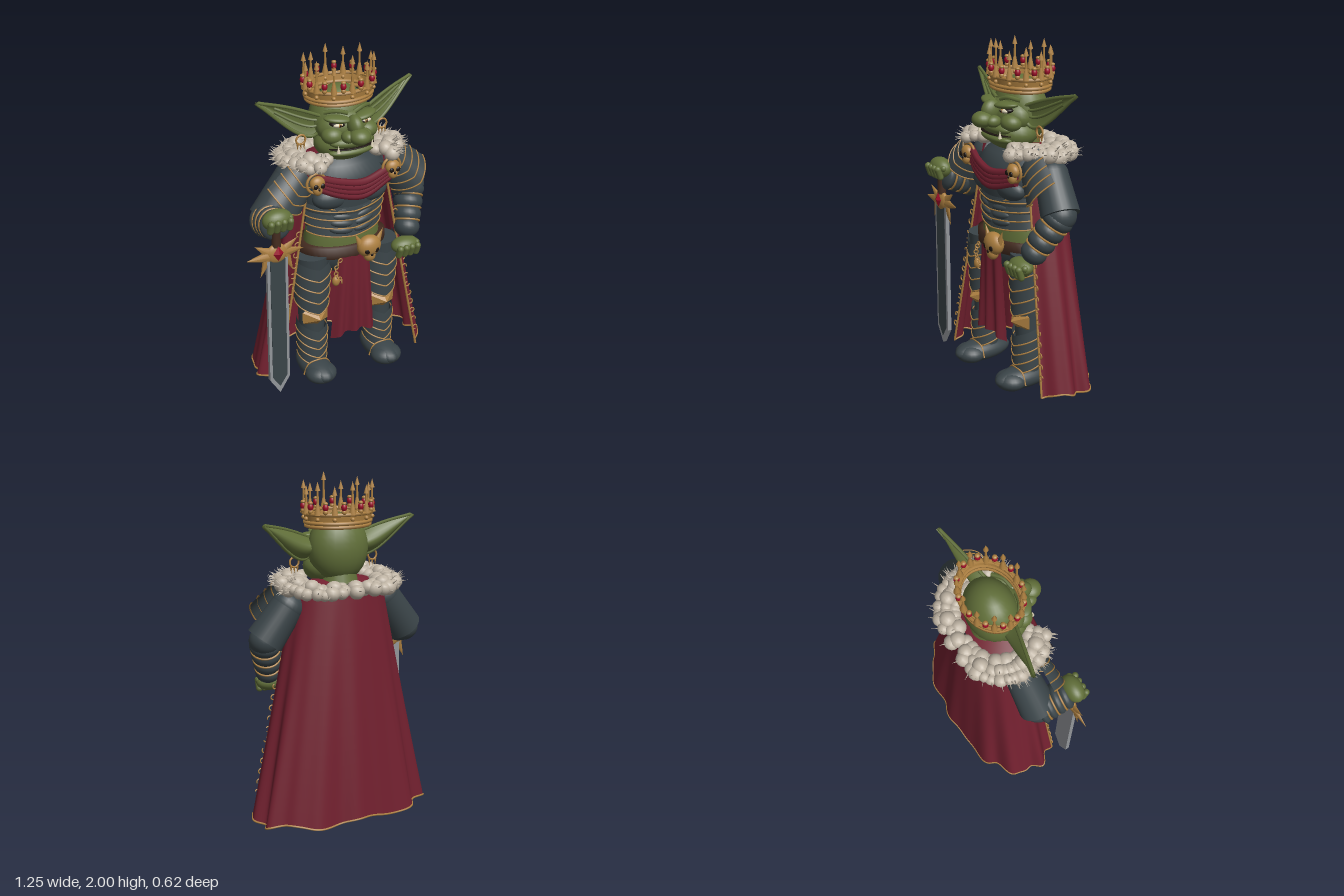
import * as THREE from 'three';

const V = (p) => new THREE.Vector3(...p);
const mat = (name, color, side = THREE.FrontSide) => Object.assign(new THREE.MeshStandardMaterial({ color, side }), { name });
const M = {
  skin: mat('green skin', 0x616f39), armour: mat('slate armour', 0x3a4448, THREE.DoubleSide),
  gold: mat('old gold', 0xac7f40, THREE.DoubleSide), cloth: mat('maroon cloth', 0x72202f, THREE.DoubleSide),
  fur: mat('cream fur', 0xbfb4a4), leather: mat('brown leather', 0x452c20), steel: mat('steel', 0x93969a),
  ruby: mat('ruby', 0x9c0f28), dark: mat('dark hollow', 0x1c1410), bone: mat('tusk bone', 0xd8cfb4),
};

function add(parent, name, geo, m, p = [0, 0, 0], s = [1, 1, 1], r = [0, 0, 0]) {
  const mesh = new THREE.Mesh(geo, m);
  mesh.name = name;
  mesh.position.set(...p); mesh.scale.set(...s); mesh.rotation.set(...r);
  parent.add(mesh);
  return mesh;
}
function group(parent, name, p = [0, 0, 0], r = [0, 0, 0]) {
  const g = new THREE.Group();
  g.name = name; g.position.set(...p); g.rotation.set(...r);
  parent.add(g);
  return g;
}
const ballGeo = new THREE.SphereGeometry(1, 24, 16);
const ball = (g, name, m, p, s, r) => add(g, name, ballGeo, m, p, s, r);
const tube = (g, name, m, pts, r, seg = 24, closed = false) =>
  add(g, name, new THREE.TubeGeometry(new THREE.CatmullRomCurve3(pts.map(V), closed), seg, r, 6, closed), m);

// Grid surface from a rule f(u, v) -> [x, y, z]
function surf(g, name, m, nu, nv, f) {
  const pos = [], idx = [];
  for (let j = 0; j <= nv; j++) for (let i = 0; i <= nu; i++) pos.push(...f(i / nu, j / nv));
  for (let j = 0; j < nv; j++) for (let i = 0; i < nu; i++) {
    const a = j * (nu + 1) + i, b = a + nu + 1;
    idx.push(a, b, a + 1, a + 1, b, b + 1);
  }
  const geo = new THREE.BufferGeometry();
  geo.setAttribute('position', new THREE.Float32BufferAttribute(pos, 3));
  geo.setIndex(idx); geo.computeVertexNormals();
  return add(g, name, geo, m);
}
const edge = (n, f) => Array.from({ length: n + 1 }, (_, i) => f(i / n));

// Curved armour plate with a gold lower rim
function plate(g, name, { x = 0, z = 0, rx, rz, y, h, chev = 0, a = 1.9, flare = 0.1 }) {
  const f = (u, v) => {
    const t = 2 * u - 1, s = 1 + flare * v;
    return [x + rx * s * Math.sin(a * t), y - h * v - chev * (1 - Math.abs(t)), z + rz * s * Math.cos(a * t)];
  };
  surf(g, name, M.armour, 20, 3, f);
  tube(g, name + 'Trim', M.gold, edge(16, (u) => f(u, 1)), 0.0045, 32);
}
// Group whose +y runs from p to q
function axis(parent, name, p, q) {
  const g = group(parent, name, p), d = V(q).sub(V(p));
  g.quaternion.setFromUnitVectors(new THREE.Vector3(0, 1, 0), d.clone().normalize());
  return [g, d.length()];
}
function skull(parent, name, p, s, horned) {
  const g = group(parent, name, p);
  g.scale.setScalar(s);
  ball(g, 'cranium', M.gold, [0, 0.15, 0], horned ? [0.9, 0.8, 0.6] : [0.72, 0.65, 0.5]);
  ball(g, 'skullJaw', M.gold, [0, -0.5, 0.1], [0.45, 0.5, 0.4]);
  for (const k of [-1, 1]) {
    ball(g, 'skullEye', M.dark, [k * 0.33, 0, 0.45], [0.22, 0.24, 0.12]);
    if (horned) add(g, 'skullHorn', new THREE.ConeGeometry(0.3, 1.1, 10), M.gold, [k * 0.85, 0.8, 0], [1, 1, 0.7], [0, 0, -k * 0.45]);
  }
  ball(g, 'skullNose', M.dark, [0, -0.32, 0.46], [0.1, 0.14, 0.1]);
  if (!horned) add(g, 'claspRing', new THREE.TorusGeometry(0.92, 0.13, 8, 24), M.gold, [0, 0.05, -0.2]);
}
function hand(parent, name, p, h) {
  const g = group(parent, name, p, [0.1, 0, 0]);
  ball(g, 'palm', M.skin, [0, 0, -0.01], [0.088, h, 0.058]);
  const finger = new THREE.CapsuleGeometry(0.02, 0.05, 4, 10);
  for (let i = 0; i < 4; i++) add(g, 'finger', finger, M.skin, [-0.058 + i * 0.038, -0.015, 0.035], [1, 1, 1], [0.25, 0, 0]);
  add(g, 'thumb', finger, M.skin, [0.055, -0.01, 0], [1, 1, 1], [0.4, 0, -0.5]);
}

function head(body) {
  const g = group(body, 'head');
  ball(g, 'skullDome', M.skin, [0, 1.585, 0], [0.18, 0.2, 0.142]);
  ball(g, 'jaw', M.skin, [0, 1.475, 0.065], [0.178, 0.105, 0.14]);
  ball(g, 'face', M.skin, [0, 1.57, 0.07], [0.17, 0.11, 0.11]);
  add(g, 'neck', new THREE.CylinderGeometry(0.1, 0.14, 0.16, 24), M.skin, [0, 1.37, 0]);
  ball(g, 'noseBridge', M.skin, [0, 1.605, 0.195], [0.042, 0.062, 0.058], [-0.5, 0, 0]);
  ball(g, 'noseTip', M.skin, [0, 1.56, 0.25], [0.06, 0.046, 0.06]);
  ball(g, 'upperLip', M.skin, [0, 1.507, 0.155], [0.135, 0.04, 0.065]);
  ball(g, 'lowerLip', M.skin, [0, 1.449, 0.155], [0.14, 0.03, 0.058]);
  ball(g, 'mouth', M.dark, [0, 1.475, 0.155], [0.14, 0.009, 0.062]);
  for (const k of [-1, 1]) {
    ball(g, 'nostril', M.skin, [k * 0.052, 1.553, 0.21], [0.036, 0.034, 0.045]);
    ball(g, 'cheek', M.skin, [k * 0.105, 1.545, 0.13], [0.065, 0.05, 0.06]);
    ball(g, 'eyeSocket', M.dark, [k * 0.085, 1.612, 0.146], [0.044, 0.016, 0.03], [0, k * 0.3, k * 0.1]);
    ball(g, 'eye', M.bone, [k * 0.085, 1.612, 0.16], [0.032, 0.013, 0.02]);
    ball(g, 'iris', M.gold, [k * 0.082, 1.612, 0.172], [0.012, 0.012, 0.01]);
    ball(g, 'pupil', M.dark, [k * 0.082, 1.612, 0.179], [0.005, 0.008, 0.005]);
    ball(g, 'brow', M.skin, [k * 0.085, 1.643, 0.15], [0.078, 0.02, 0.045], [0, k * 0.35, k * 0.1]);
    tube(g, 'browFold', M.skin, [[k * 0.02, 1.665, 0.145], [k * 0.08, 1.682, 0.13], [k * 0.14, 1.67, 0.09]], 0.012);
    add(g, 'tusk', new THREE.ConeGeometry(0.011, 0.045, 10), M.bone, [k * 0.105, 1.488, 0.203]);
    // Long pointed ear: hollow front, rounded back, raised rim and inner ridges
    const ear = group(g, k < 0 ? 'rightEar' : 'leftEar');
    const at = (x, y, lift = 0) => [k * x, y, 0.062 - (x - 0.14) * 0.27 + lift];
    const top = (u) => [0.14 + 0.345 * u, 1.64 + 0.105 * u + 0.012 * Math.sin(u * Math.PI)];
    const low = (u) => [0.14 + 0.345 * u, 1.555 + 0.19 * u - 0.09 * Math.sin(Math.PI * u ** 0.75) * (1 - 0.45 * u)];
    for (const front of [true, false]) surf(ear, 'earShell', M.skin, 16, 8, (u, w) => {
      const v = front === (k > 0) ? w : 1 - w, a = top(u), b = low(u);
      return at(a[0], a[1] + (b[1] - a[1]) * v, -(front ? 0.015 : 0.075 * (1 - u)) * Math.sin(v * Math.PI));
    });
    tube(ear, 'earRim', M.skin, [...edge(8, (u) => at(...top(u))), ...edge(8, (u) => at(...low(1 - u))).slice(1)], 0.01, 50);
    for (const q of [0.3, 0.6]) tube(ear, 'earRidge', M.skin, edge(6, (t) => {
      const u = t * 0.72, a = top(u), b = low(u);
      return at(a[0], a[1] + (b[1] - a[1]) * q, -0.008);
    }), 0.008);
    add(g, 'earring', new THREE.TorusGeometry(0.028, 0.006, 8, 24), M.gold, [k * 0.257, 1.515, 0.045]);
    for (const d of [-0.02, 0, 0.02]) add(g, 'earringSpike', new THREE.ConeGeometry(0.007, 0.04, 8), M.gold, [k * 0.257 + d, 1.472, 0.045], [1, 1, 1], [Math.PI, 0, 0]);
  }
}

function crown(body) {
  const g = group(body, 'crown');
  const round = (a, y, s = 1) => [0.2 * s * Math.sin(a), y, 0.158 * s * Math.cos(a)];
  surf(g, 'crownBand', M.gold, 48, 1, (u, v) => round(u * Math.PI * 2, 1.72 + 0.065 * v, 0.95 + 0.06 * v));
  surf(g, 'crownLedge', M.gold, 48, 1, (u, v) => round(u * Math.PI * 2, 1.793, 1.02 - 0.09 * v));
  for (const [y, s] of [[1.716, 0.95], [1.737, 0.98], [1.787, 1.02]])
    tube(g, 'crownRing', M.gold, edge(24, (u) => round(u * Math.PI * 2, y, s)).slice(1), 0.011, 64, true);
  for (let i = 0; i < 12; i++) {
    const a = i * Math.PI / 6, h = i === 0 ? 0.04 : i % 2 ? -0.015 : 0.01, b = a + Math.PI / 12;
    add(g, 'spikeBase', new THREE.ConeGeometry(0.021, 0.1, 8), M.gold, round(a, 1.835, 1.01));
    add(g, 'crownSpike', new THREE.CylinderGeometry(0.005, 0.009, 0.15 + h, 8), M.gold, round(a, 1.855 + h / 2, 1.01));
    add(g, 'crownTip', new THREE.ConeGeometry(0.015, 0.05, 8), M.gold, round(a, 1.935 + h, 1.01));
    ball(g, 'crownStud', M.gold, round(a, 1.76, 1.02), [0.012, 0.012, 0.012]);
    ball(g, 'gemSocket', M.gold, round(b, 1.802, 1.03), [0.014, 0.016, 0.014]);
    ball(g, 'crownGem', M.ruby, round(b, 1.828, 1.03), [0.016, 0.022, 0.016]);
    ball(g, 'gemCap', M.gold, round(b, 1.85, 1.03), [0.014, 0.01, 0.014]);
  }
}

function torso(body) {
  const lathe = (name, m, pts, ...arc) => add(body, name, new THREE.LatheGeometry(pts.map((p) => new THREE.Vector2(...p)), 40, ...arc), m, [0, 0, 0.04], [1, 1, 0.64]);
  lathe('pelvis', M.armour, [[0.001, 0.66], [0.18, 0.69], [0.25, 0.76], [0.25, 0.82]]);
  lathe('belly', M.skin, [[0.23, 0.8], [0.235, 0.88], [0.22, 0.96], [0.21, 1.0]]);
  lathe('belt', M.leather, [[0.23, 0.8], [0.275, 0.8], [0.275, 0.87], [0.23, 0.87]]);
  lathe('breastplate', M.armour, [[0.2, 0.97], [0.225, 0.97], [0.25, 1.08], [0.27, 1.2], [0.265, 1.29], [0.2, 1.36], [0.09, 1.41]]);
  lathe('capeCollar', M.cloth, [[0.29, 1.37], [0.2, 1.4], [0.09, 1.425]], Math.PI / 2, Math.PI);
  for (let i = 0; i < 4; i++) {
    plate(body, 'ribPlate', { z: 0.04, rx: 0.255 - i * 0.008, rz: 0.16 - i * 0.004, y: 1.17 - i * 0.055, h: 0.05, chev: 0.03, a: 1.4, flare: 0.05 });
    for (const k of [-1, 1]) ball(body, 'abdomenPlate', M.armour, [k * 0.07, 1.1 - i * 0.043, 0.172], [0.07, 0.026, 0.03], [0, k * 0.2, k * 0.12]);
  }
  for (const k of [-1, 1]) {
    ball(body, 'chestPlate', M.armour, [k * 0.115, 1.175, 0.14], [0.12, 0.07, 0.07]);
    tube(body, 'chestTrim', M.gold, [[k * 0.01, 1.13, 0.19], [k * 0.09, 1.108, 0.19], [k * 0.2, 1.14, 0.16]], 0.005);
    skull(body, 'shoulderClasp', [k * 0.238, 1.305, 0.205], 0.062, false);
    // Layered shoulder plates
    const g = group(body, 'pauldron', [k * 0.25, 1.37, 0.04], [0, 0, k * 0.72]);
    for (let i = 0; i < 4; i++) plate(g, 'shoulderPlate', { rx: 0.11 + i * 0.008, rz: 0.13 + i * 0.01, y: 0.01 - i * 0.055, h: 0.06, chev: 0.045, a: 1.15 });
  }
  // Draped scarf
  for (let i = 0; i < 4; i++) tube(body, 'scarfFold', M.cloth, [[-0.23, 1.335 - i * 0.02, 0.18], [-0.1, 1.295 - i * 0.026, 0.215], [0.04, 1.27 - i * 0.027, 0.225], [0.23, 1.3 - i * 0.02, 0.18]], 0.022);
  skull(body, 'beltSkull', [0.08, 0.845, 0.23], 0.083, true);
  // Front cloth and hanging chain
  surf(body, 'loincloth', M.cloth, 32, 8, (u, v) => {
    const t = 2 * u - 1;
    return [t * (0.1 + 0.045 * v), 0.81 - 0.545 * v + 0.04 * v * (1 - t * t), 0.225 + 0.012 * Math.cos(t * 9) * (0.3 + v) - 0.025 * t * t];
  });
  for (let i = 0; i < 8; i++) add(body, 'chainLink', new THREE.TorusGeometry(0.012, 0.004, 6, 12), M.gold, [-0.1 - 0.03 * Math.sin(i * 0.5), 0.8 - i * 0.02, 0.22], [1, 1, 1], [0, i % 2, 0]);
  ball(body, 'chainCharm', M.gold, [-0.125, 0.67, 0.215], [0.024, 0.032, 0.02]);
}

function leg(body, k) {
  const g = group(body, k < 0 ? 'rightLeg' : 'leftLeg', [k * 0.222, 0, 0.09]);
  add(g, 'thigh', new THREE.CylinderGeometry(0.105, 0.08, 0.38, 24), M.armour, [0, 0.63, 0]);
  add(g, 'shin', new THREE.CylinderGeometry(0.08, 0.065, 0.36, 24), M.armour, [0, 0.26, 0]);
  for (let i = 0; i < 4; i++) plate(g, 'thighPlate', { rx: 0.114 - i * 0.005, rz: 0.11 - i * 0.004, y: 0.83 - i * 0.075, h: 0.075, chev: 0.075, flare: 0.04 });
  for (let i = 0; i < 4; i++) plate(g, 'shinPlate', { rx: 0.09 - i * 0.002, rz: 0.095 - i * 0.002, y: 0.4 - i * 0.06, h: 0.06, chev: 0.07, flare: 0.05 });
  const knee = new THREE.ConeGeometry(1, 1, 6).toNonIndexed();
  knee.computeVertexNormals();
  add(g, 'kneeGuard', knee, M.gold, [0, 0.425, 0.085], [0.095, 0.07, 0.072], [Math.PI / 2, 0, 0]);
  ball(g, 'boot', M.armour, [0, 0.068, 0.035], [0.088, 0.066, 0.185]);
  ball(g, 'toeCap', M.armour, [0, 0.062, 0.12], [0.096, 0.058, 0.09]);
  tube(g, 'bootTrim', M.gold, [[-0.093, 0.05, 0.08], [-0.06, 0.115, 0.08], [0, 0.135, 0.09], [0.06, 0.115, 0.08], [0.093, 0.05, 0.08]], 0.005);
}

function arm(body, name, shoulder, elbow, wrist, size) {
  const [u, ul] = axis(body, name + 'UpperArm', shoulder, elbow);
  add(u, 'sleeve', new THREE.CylinderGeometry(0.11, 0.095, ul, 24), M.armour, [0, ul / 2, 0]);
  ball(u, 'shoulderCap', M.armour, [0, 0, 0], [0.096, 0.085, 0.096]);
  ball(body, name + 'Elbow', M.armour, elbow, [0.09, 0.085, 0.09]);
  const [f, fl] = axis(body, name + 'Forearm', elbow, wrist);
  for (let i = 0; i < 4; i++) {
    const y = fl * (i + 0.4) / 4, r = size * (1 - i * 0.06);
    ball(f, 'forearmBand', M.armour, [0, y, 0], [r, fl * 0.21, r]);
    if (i) add(f, 'forearmTrim', new THREE.TorusGeometry(r * 0.95, 0.006, 6, 28), M.gold, [0, y - fl / 8, 0], [1, 1, 1], [Math.PI / 2, 0, 0]);
  }
}

function cape(body) {
  const f = (u, v) => {
    const a = (2 * u - 1) * 2.15, rx = 0.27 + 0.27 * v, rz = 0.185 + 0.105 * v;
    const fold = 1 + v * (0.035 * Math.cos(a * 11) + 0.02 * Math.sin(a * 17)) + 0.05 * v * Math.sin(2 * a) ** 2;
    return [rx * fold * Math.sin(a), 1.38 - 1.335 * v + 0.014 * v * Math.cos(a * 7), -rz * fold * Math.cos(a)];
  };
  surf(body, 'cape', M.cloth, 120, 16, f);
  tube(body, 'capeHem', M.gold, edge(90, (u) => f(u, 1)), 0.006, 180);
  for (const u of [0, 1]) {
    tube(body, 'capeEdge', M.gold, edge(8, (v) => f(u, 0.12 + 0.88 * v)), 0.007, 24);
    for (let i = 0; i < 14; i++) {
      const p = f(u, 0.3 + i * 0.047);
      add(body, 'capeLoop', new THREE.TorusGeometry(0.015, 0.004, 6, 12, 4.5), M.gold, [p[0] + (u ? 0.015 : -0.015), p[1], p[2] + 0.003], [1, 1, 1], [0, 0, i]);
    }
  }
}

function furCollar(body) {
  let seed = 7;
  const rnd = () => (seed = (seed * 16807) % 2147483647) / 2147483647;
  const g = group(body, 'furCollar'), puff = new THREE.SphereGeometry(1, 12, 9), hair = new THREE.ConeGeometry(0.007, 0.06, 4);
  [0.79, 0.98, 1.14].forEach((row, j) => {
    for (let i = 0; i <= 30; i++) {
      const a = (i / 15 - 1) * 2.55 + (rnd() - 0.5) * 0.08, sn = Math.sign(a) * Math.abs(Math.sin(a)) ** 0.7, c = -Math.cos(a);
      const p = [0.3 * row * sn, 1.388 + 0.025 * c + (j === 1 ? 0.018 : 0) + (rnd() - 0.5) * 0.02, (c > 0 ? 0.225 : 0.208) * row * c];
      const s = 0.034 + rnd() * 0.016;
      add(g, 'furTuft', puff, M.fur, p, [s, s * 0.9, s], [rnd(), rnd(), 0]);
      for (let n = 0; n < (Math.abs(a) > 1.2 ? 4 : 1); n++) {
        const d = V([sn * row + rnd() - 0.5, rnd() * 1.2 - 0.3, c * row + rnd() - 0.5]).normalize();
        const h = add(g, 'furHair', hair, M.fur, V(p).addScaledVector(d, s + 0.005).toArray());
        h.quaternion.setFromUnitVectors(new THREE.Vector3(0, 1, 0), d);
      }
    }
  });
}

function sword(root) {
  const g = group(root, 'sword', [-0.44, 0, 0.215]);
  const flat = (pts, depth) => new THREE.ExtrudeGeometry(new THREE.Shape(pts.map((p) => new THREE.Vector2(...p))), { depth, bevelEnabled: false });
  const blade = (w, t, b, s) => [[-w, t], [-w, s], [0, b], [w, s], [w, t]];
  add(g, 'blade', flat(blade(0.063, 0.93, 0.03, 0.13), 0.024), M.steel);
  add(g, 'bladeFuller', flat(blade(0.046, 0.92, 0.075, 0.145), 0.006), M.armour, [0, 0, 0.02]);
  // Spiked guard, thinning toward its tips
  const spike = (len, w, x, y, turn) => add(g, 'guardSpike', new THREE.ConeGeometry(w, len, 8), M.gold, [x, y, 0.012], [1, 1, 0.45], [0, 0, turn]);
  spike(0.15, 0.042, -0.108, 0.947, 1.57);
  spike(0.14, 0.042, 0.1, 0.952, -1.57);
  for (const k of [-1, 1]) {
    spike(0.11, 0.034, k * 0.085, 0.995, -k * 0.95);
    spike(0.13, 0.034, k * 0.075, 0.885, -k * 2.75);
  }
  ball(g, 'gemSetting', M.gold, [0, 0.955, 0.012], [0.065, 0.06, 0.026]);
  add(g, 'guardGem', new THREE.OctahedronGeometry(1), M.ruby, [0, 0.965, 0.038], [0.031, 0.046, 0.018]);
  add(g, 'swordGrip', new THREE.CylinderGeometry(0.024, 0.026, 0.17, 14), M.leather, [0, 1.085, 0.012]);
}

export function createModel() {
  const root = new THREE.Group();
  root.name = 'goblinKing';
  const body = group(root, 'body', [0.062, 0, 0]);
  head(body); crown(body); torso(body); cape(body); furCollar(body);
  leg(body, -1); leg(body, 1);
  arm(body, 'left', [0.32, 1.28, 0.01], [0.452, 1.09, 0.04], [0.36, 0.84, 0.18], 0.092);
  hand(body, 'leftHand', [0.33, 0.795, 0.225], 0.05);
  arm(body, 'right', [-0.31, 1.28, 0.01], [-0.465, 1.07, 0.03], [-0.495, 1.12, 0.22], 0.108);
  hand(body, 'rightHand', [-0.497, 1.165, 0.245], 0.062);
  sword(root);
  return root;
}
